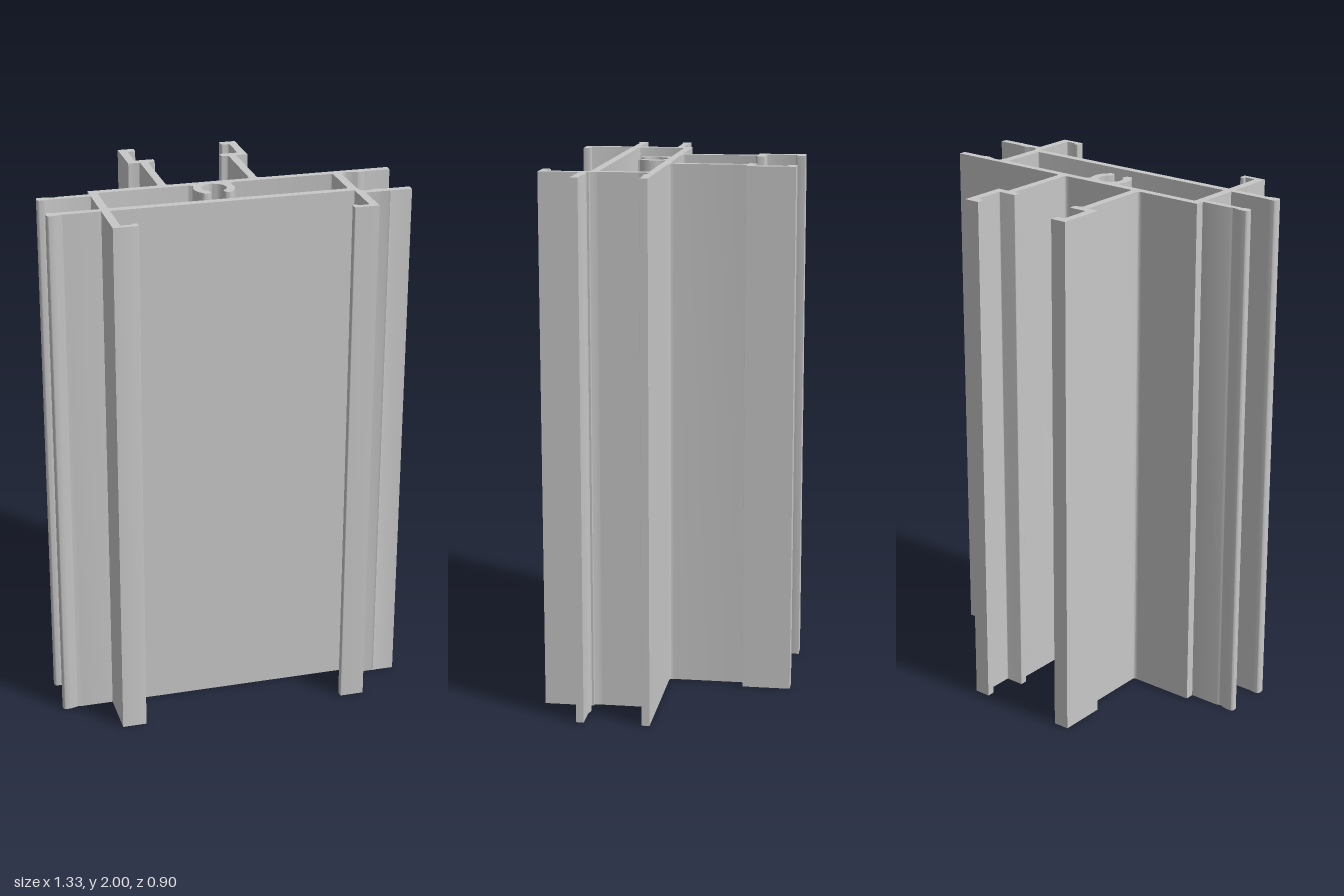
import * as THREE from 'three';
import { toCreasedNormals } from 'three/addons/utils/BufferGeometryUtils.js';

const HEIGHT = 2;
const aluminium = new THREE.MeshStandardMaterial({ color: 0xc7c7c7 });
aluminium.name = 'aluminium grey';

// Traces a closed [x, z, cornerRadius] section; corners with a radius are rounded.
function trace(path, points) {
  const n = points.length;
  points.forEach(([x, z, r = 0], i) => {
    const corner = new THREE.Vector2(x, -z);
    const toward = ([px, pz]) => {
      const d = new THREE.Vector2(px, -pz).sub(corner);
      return d.setLength(Math.min(r, d.length() / 2)).add(corner);
    };
    const a = toward(points[(i + n - 1) % n]);
    const b = toward(points[(i + 1) % n]);
    if (i === 0) path.moveTo(a.x, a.y);
    else path.lineTo(a.x, a.y);
    if (r > 0) path.quadraticCurveTo(corner.x, corner.y, b.x, b.y);
  });
  path.closePath();
  return path;
}

// Extrudes a plan section up to the full height; a hole runs opposite to its outline.
function extrude(name, points, hole) {
  const shape = trace(new THREE.Shape(), points);
  if (hole) shape.holes.push(trace(new THREE.Path(), hole));
  const geometry = new THREE.ExtrudeGeometry(shape, { depth: HEIGHT, bevelEnabled: false, curveSegments: 5 });
  geometry.rotateX(-Math.PI / 2);
  const mesh = new THREE.Mesh(toCreasedNormals(geometry, 0.6), aluminium);
  mesh.name = name;
  return mesh;
}

const mirror = (points, axis) => points.map(([x, z, r]) => [2 * axis - x, z, r]);

export function createModel() {
  const group = new THREE.Group();
  group.name = 'extrudedFrameProfile';

  // Hollow central chamber
  group.add(extrude('chamber',
    [[-0.473, 0.024], [0.475, 0.024], [0.475, 0.263], [-0.473, 0.263]],
    [[-0.442, 0.233, 0.012], [0.443, 0.233, 0.012], [0.443, 0.053, 0.012], [-0.442, 0.053, 0.012]]));

  // Plain flanges on the model's left, with a scooped root and a small ridge
  group.add(extrude('rearFlange', [
    [0.475, 0.024], [0.665, 0.024], [0.665, 0.053], [0.572, 0.053], [0.558, 0.057, 0.005],
    [0.54, 0.06, 0.006], [0.525, 0.053, 0.006], [0.498, 0.046, 0.01], [0.48, 0.052, 0.012], [0.475, 0.085],
  ]));
  group.add(extrude('frontFlange', [
    [0.475, 0.235], [0.478, 0.262, 0.01], [0.492, 0.274, 0.01], [0.52, 0.269, 0.008], [0.54, 0.262, 0.008],
    [0.558, 0.265, 0.006], [0.572, 0.269], [0.665, 0.269], [0.665, 0.297], [0.588, 0.297],
    [0.582, 0.3], [0.576, 0.297], [0.475, 0.297],
  ]));

  // Bead-tipped fins on the opposite side
  group.add(extrude('rearFin', [
    [-0.473, 0.059], [-0.59, 0.059], [-0.606, 0.065, 0.007], [-0.632, 0.056, 0.008], [-0.668, 0.054, 0.014],
    [-0.668, 0.088, 0.014], [-0.638, 0.088, 0.006], [-0.632, 0.084], [-0.473, 0.084],
  ]));
  group.add(extrude('frontFin', [
    [-0.473, 0.234], [-0.632, 0.234], [-0.638, 0.231, 0.005], [-0.668, 0.231, 0.014], [-0.668, 0.269, 0.014],
    [-0.638, 0.267, 0.008], [-0.608, 0.258, 0.007], [-0.592, 0.261], [-0.473, 0.261],
  ]));

  // Rear rails with hooked channel ends
  const rail = [
    [-0.225, 0.024], [-0.211, 0.022, 0.014], [-0.211, -0.266, 0.006], [-0.256, -0.266], [-0.256, -0.448],
    [-0.194, -0.448], [-0.194, -0.414, 0.006], [-0.225, -0.414, 0.008], [-0.225, -0.297, 0.004],
    [-0.153, -0.297, 0.004], [-0.153, -0.266, 0.005], [-0.181, -0.266, 0.012], [-0.181, 0.022, 0.014], [-0.166, 0.024],
  ];
  group.add(extrude('rightRail', rail));
  group.add(extrude('leftRail', mirror(rail, -0.024)));

  // Front legs with inward lipped feet
  const leg = [
    [-0.473, 0.263], [-0.473, 0.448], [-0.381, 0.448, 0.004], [-0.381, 0.416, 0.009], [-0.4, 0.416, 0.009],
    [-0.4, 0.427], [-0.442, 0.427, 0.006], [-0.442, 0.263],
  ];
  group.add(extrude('rightLeg', leg));
  group.add(extrude('leftLeg', mirror(leg, 0.008)));

  // Open screw port: two curled claws under the rear wall
  const cx = -0.022, cz = 0.101, outer = 0.076, inner = 0.046;
  const arc = (x, z, radius, from, to, steps) => Array.from({ length: steps + 1 }, (_, i) => {
    const a = from + (to - from) * i / steps;
    return [x + radius * Math.cos(a), z + radius * Math.sin(a)];
  });
  const tip = 2.33, mid = (outer + inner) / 2;
  const claw = [
    [-0.105, 0.053], [-0.092, 0.061],
    ...arc(cx, cz, outer, Math.PI + 0.42, tip, 10),
    ...arc(cx + mid * Math.cos(tip), cz + mid * Math.sin(tip), 0.018, tip, tip - Math.PI, 7),
    ...arc(cx, cz, inner, tip, Math.PI * 1.42, 12),
    [-0.028, 0.053],
  ];
  group.add(extrude('rightScrewClaw', claw));
  group.add(extrude('leftScrewClaw', mirror(claw, cx)));

  return group;
}
